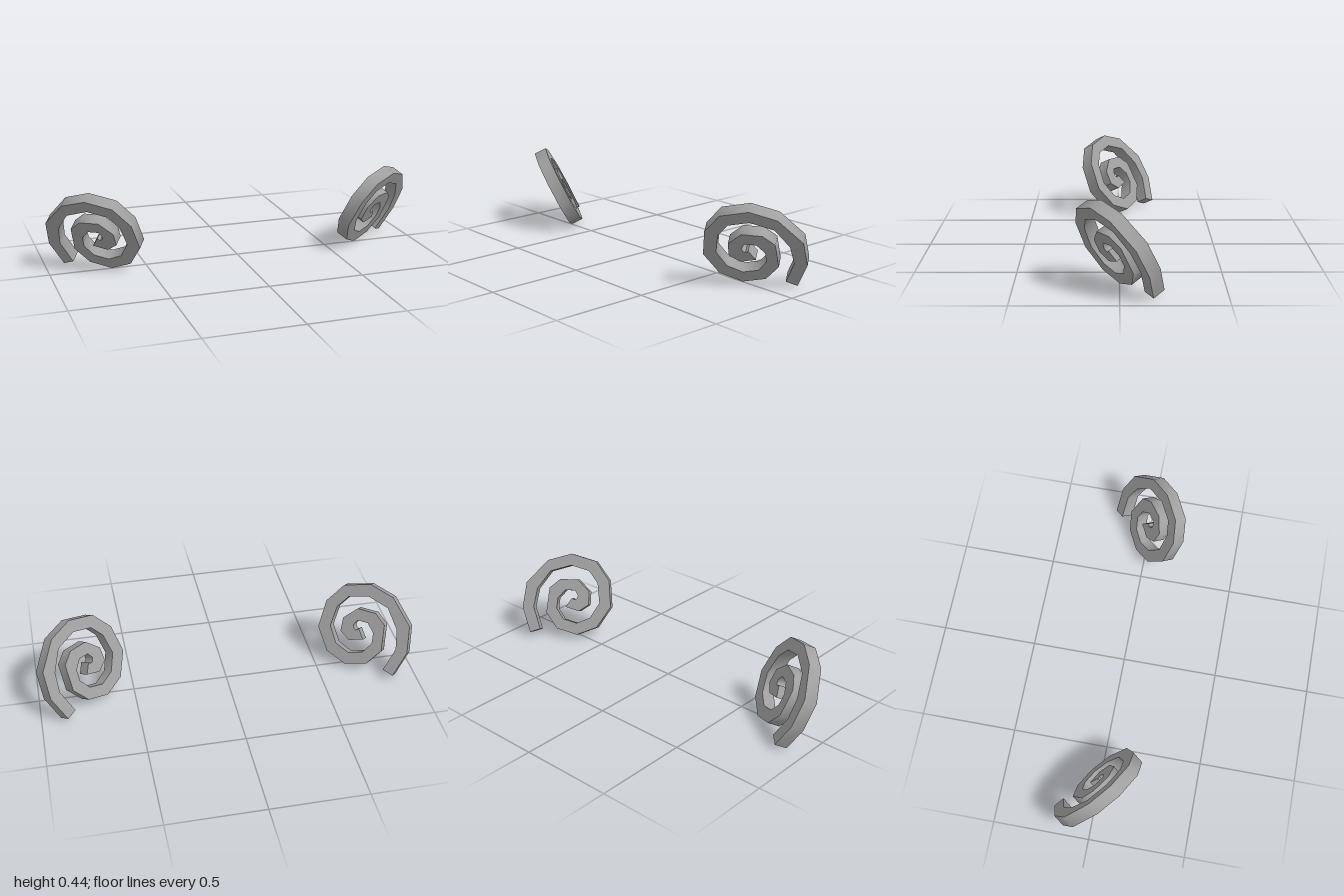
import * as THREE from 'three';
import { toCreasedNormals } from 'three/addons/utils/BufferGeometryUtils.js';

// Outer and inner edges of the spiral band, from the open tip to the centre
const outer = [
  [0, 0], [0.05, 0.138], [0.034, 0.281], [-0.083, 0.412], [-0.216, 0.454],
  [-0.357, 0.4185], [-0.436, 0.315], [-0.453, 0.166], [-0.38, 0.047], [-0.268, 0],
  [-0.153, 0.03], [-0.0875, 0.116], [-0.099, 0.257], [-0.158, 0.308], [-0.259, 0.311],
  [-0.327, 0.2455], [-0.327, 0.171], [-0.273, 0.133], [-0.197, 0.153],
];
const inner = [
  [-0.057, 0.021], [-0.013, 0.145], [-0.03, 0.25], [-0.1, 0.351], [-0.215, 0.389],
  [-0.32, 0.363], [-0.372, 0.296], [-0.388, 0.185], [-0.338, 0.099], [-0.263, 0.065],
  [-0.187, 0.085], [-0.146, 0.143], [-0.15, 0.202], [-0.19, 0.248], [-0.246, 0.249],
  [-0.264, 0.22], [-0.258, 0.203], [-0.245, 0.195], [-0.231, 0.206],
];
const thickness = 0.068;

// side = 1 is the model's left, side = -1 its mirror image
function makeHorn(side, material) {
  const outline = [...outer, ...[...inner].reverse()];
  const shape = new THREE.Shape(outline.map(([u, v]) => new THREE.Vector2(side * u, v)));
  const flat = new THREE.ExtrudeGeometry(shape, { depth: thickness, bevelEnabled: false });
  flat.translate(0, 0, -thickness);

  // Tilt the spiral so its face looks outward, down and forward
  const normal = new THREE.Vector3(side * 0.509, -0.442, 0.737).normalize();
  const across = new THREE.Vector3(0, 1, 0).cross(normal).normalize();
  const up = normal.clone().cross(across);
  flat.applyMatrix4(new THREE.Matrix4().makeBasis(across, up, normal)
    .setPosition(side * 0.899, 0.002, -0.155));

  // Soft bends along the band, sharp edges at the faces
  const horn = new THREE.Mesh(toCreasedNormals(flat, 0.95), material);
  horn.name = side > 0 ? 'leftSpiralHorn' : 'rightSpiralHorn';
  return horn;
}

export function createModel() {
  const model = new THREE.Group();
  model.name = 'spiralHorns';
  const hornGrey = new THREE.MeshStandardMaterial({ color: 0xa0a0a0 });
  hornGrey.name = 'hornGrey';
  for (const side of [1, -1]) model.add(makeHorn(side, hornGrey));
  return model;
}
